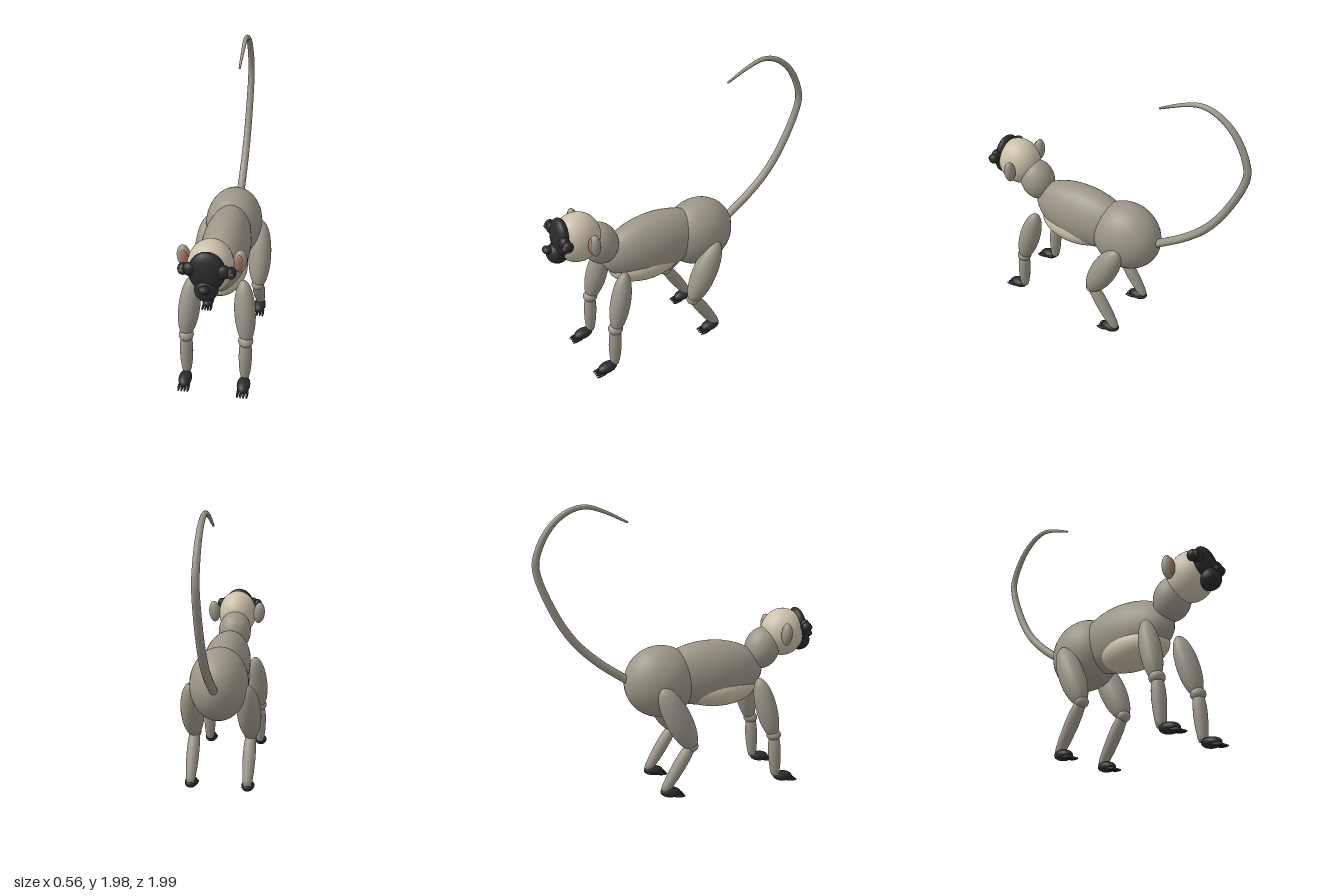
import * as THREE from 'three';

const mat = (name, color, side = THREE.FrontSide) => {
  const m = new THREE.MeshStandardMaterial({ color, side });
  m.name = name;
  return m;
};

export function createModel() {
  const fur = mat('grey fur', 0x9c9688);
  const cream = mat('cream fur', 0xcbc0aa);
  const black = mat('black skin', 0x2a2a2b);
  const pink = mat('ear skin', 0xa4735f);
  const amber = mat('amber iris', 0x6b4a2c);

  const model = new THREE.Group();
  model.name = 'monkey';
  const sphere = new THREE.SphereGeometry(1, 32, 20);
  const V = (a) => new THREE.Vector3(...a);

  const add = (name, geometry, material) => {
    const m = new THREE.Mesh(geometry, material);
    m.name = name;
    model.add(m);
    return m;
  };
  const ball = (name, material, p, r, tilt = 0) => {
    const m = add(name, sphere, material);
    m.position.set(...p);
    m.scale.set(...r);
    m.rotation.x = tilt;
    return m;
  };
  // Points a y-long mesh from a to b
  const span = (m, a, b) => {
    const d = V(b).sub(V(a));
    m.position.copy(V(a)).addScaledVector(d, 0.5);
    m.quaternion.setFromUnitVectors(new THREE.Vector3(0, 1, 0), d.normalize());
    return m;
  };
  // Ellipsoid limb with its poles at a and b
  const limb = (name, a, b, rx, rz) => {
    const m = span(add(name, sphere, fur), a, b);
    m.scale.set(rx, V(a).distanceTo(V(b)) / 2, rz);
  };
  // Slim lower limb, swelling in the middle with blunt ends
  const shank = (name, a, b) => {
    const h = V(a).distanceTo(V(b)) / 2;
    const profile = [[0, -1], [0.027, -1], [0.034, -0.8], [0.041, -0.4], [0.045, 0.1],
      [0.044, 0.5], [0.038, 0.85], [0.03, 1], [0, 1]].map(([r, y]) => new THREE.Vector2(r, y * h));
    span(add(name, new THREE.LatheGeometry(profile, 20), fur), b, a);
  };

  // Trunk
  ball('torso', fur, [0, 0.81, 0.2], [0.165, 0.23, 0.4]);
  ball('hips', fur, [0, 0.78, -0.155], [0.2, 0.25, 0.255], 0.1);
  ball('belly', cream, [0, 0.695, 0.27], [0.158, 0.13, 0.28]);
  ball('neck', fur, [0, 0.955, 0.605], [0.122, 0.15, 0.125], 0.25);

  // Head and face
  ball('head', cream, [0, 1.06, 0.76], [0.142, 0.17, 0.158]);
  ball('faceMask', black, [0, 1.1, 0.875], [0.112, 0.13, 0.052], -0.1);
  ball('muzzle', black, [0, 0.99, 0.9], [0.072, 0.072, 0.075]);
  ball('nose', black, [0, 1.035, 0.968], [0.036, 0.025, 0.03]);

  for (const s of [1, -1]) {
    const side = s > 0 ? 'left' : 'right';
    const n = (part) => side + part;

    // Ears and eyes
    ball(n('Ear'), fur, [s * 0.173, 1.078, 0.712], [0.043, 0.08, 0.036]).rotation.z = s * -0.08;
    ball(n('InnerEar'), pink, [s * 0.168, 1.078, 0.737], [0.028, 0.058, 0.017]).rotation.z = s * -0.08;
    ball(n('Brow'), black, [s * 0.1, 1.115, 0.885], [0.045, 0.045, 0.035]);
    ball(n('Eye'), black, [s * 0.142, 1.11, 0.88], [0.033, 0.038, 0.036]);
    ball(n('Iris'), amber, [s * 0.146, 1.11, 0.905], [0.018, 0.02, 0.014]);
    ball(n('Pupil'), black, [s * 0.146, 1.11, 0.913], [0.01, 0.011, 0.009]);

    // Foreleg
    limb(n('UpperArm'), [s * 0.165, 0.78, 0.51], [s * 0.205, 0.345, 0.62], 0.068, 0.075);
    ball(n('Elbow'), fur, [s * 0.2, 0.365, 0.62], [0.05, 0.042, 0.052]);
    shank(n('Forearm'), [s * 0.2, 0.36, 0.622], [s * 0.2, 0.06, 0.64]);

    // Hind leg
    limb(n('Thigh'), [s * 0.19, 0.785, -0.2], [s * 0.205, 0.335, 0.015], 0.082, 0.092);
    ball(n('Knee'), fur, [s * 0.2, 0.36, 0.003], [0.046, 0.042, 0.046]);
    shank(n('Shin'), [s * 0.2, 0.365, 0.0], [s * 0.2, 0.055, -0.195]);

    // Hands and feet, each with four digits
    for (const [paw, digit, z] of [['Hand', 'Finger', 0.7], ['Foot', 'Toe', -0.15]]) {
      ball(n(paw), black, [s * 0.2, 0.043, z], [0.045, 0.036, 0.072], 0.1);
      for (let i = 0; i < 4; i++) {
        const x = s * 0.2 + (i - 1.5) * 0.021;
        ball(n(digit + (i + 1)), black, [x, 0.018, z + 0.055], [0.009, 0.011, 0.043], 0.12);
      }
    }
  }

  // Tail: a tube narrowed toward the tip
  const path = [[0.8, -0.38], [0.83, -0.42], [0.945, -0.58], [1.1, -0.74], [1.31, -0.87], [1.59, -0.968],
    [1.71, -0.945], [1.86, -0.855], [1.945, -0.74], [1.967, -0.635], [1.935, -0.52], [1.865, -0.37]];
  const curve = new THREE.CatmullRomCurve3(path.map(([y, z]) => new THREE.Vector3(0, y, z)));
  const steps = 64, sides = 14;
  const tail = new THREE.TubeGeometry(curve, steps, 1, sides);
  const pos = tail.attributes.position, p = new THREE.Vector3();
  for (let i = 0; i <= steps; i++) {
    const t = i / steps, c = curve.getPointAt(t);
    const r = 0.029 - 0.007 * t - 0.015 * t ** 4;
    for (let j = 0; j <= sides; j++) {
      const k = i * (sides + 1) + j;
      p.fromBufferAttribute(pos, k).sub(c).multiplyScalar(r).add(c);
      pos.setXYZ(k, p.x, p.y, p.z);
    }
  }
  tail.computeVertexNormals();
  add('tail', tail, fur);
  ball('tailTip', fur, [0, 1.865, -0.37], [0.007, 0.007, 0.007]);

  return model;
}
